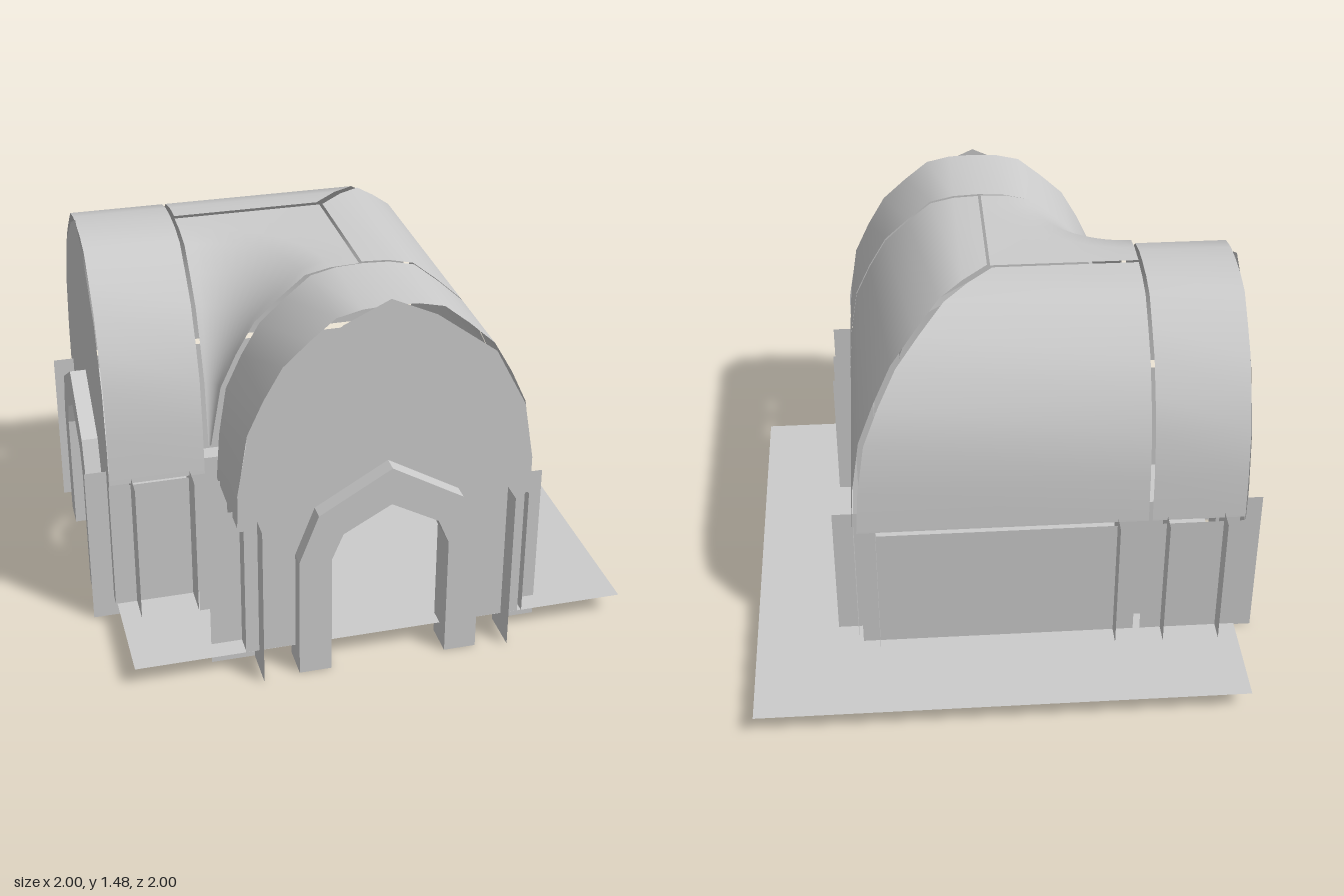
import * as THREE from 'three';

const mat = new THREE.MeshStandardMaterial({ color: 0xcccccc, side: THREE.DoubleSide });

const CX = 0.033;    // ridge line of a wing
const WALL = 0.585;  // outer wall plane
const END = 0.918;   // plane of the gable wall

// half vault section: distance from the ridge, height
const half = [[0, 1.455], [0.1, 1.45], [0.195, 1.428], [0.29, 1.35], [0.385, 1.262],
  [0.455, 1.14], [0.515, 1.01], [0.545, 0.82], [0.558, 0.635]];
const full = [...half.slice(1).reverse().map(([d, y]) => [-d, y]), ...half];

function add(parent, name, geometry) {
  const mesh = new THREE.Mesh(geometry, mat);
  mesh.name = name;
  parent.add(mesh);
  return mesh;
}

// smooth sheet through rows of points, point(i, j) -> [x, y, z]
function sheet(rows, cols, point) {
  const pos = [], index = [];
  for (let i = 0; i < rows; i++) {
    for (let j = 0; j < cols; j++) {
      pos.push(...point(i, j));
      if (i && j) {
        const a = (i - 1) * cols + j - 1, b = i * cols + j - 1;
        index.push(a, b, b + 1, a, b + 1, a + 1);
      }
    }
  }
  const g = new THREE.BufferGeometry();
  g.setAttribute('position', new THREE.Float32BufferAttribute(pos, 3));
  g.setIndex(index);
  g.computeVertexNormals();
  return g;
}

// thin wall facing sideways, from z0 to z1
function sideWall(parent, name, x, z0, z1) {
  const wall = add(parent, name, new THREE.PlaneGeometry(z1 - z0, 0.53));
  wall.rotation.y = x > 0 ? Math.PI / 2 : -Math.PI / 2;
  wall.position.set(x, 0.347, (z0 + z1) / 2);
}

// angle post: two thin strips meeting on the room side (sx, sz) of a wall corner
function post(parent, x, z, sx, sz) {
  const group = new THREE.Group();
  group.name = 'post';
  const r = 0.083, strip = new THREE.PlaneGeometry(2 * r, 0.655);
  add(group, 'postStripAcross', strip).position.z = sz * r;
  const along = add(group, 'postStripAlong', strip);
  along.rotation.y = Math.PI / 2;
  along.position.x = sx * r;
  group.position.set(x, 0.3275, z);
  parent.add(group);
}

// mirrored outline from right foot over the top to left foot
function outline(points) {
  const right = points.map(([x, y]) => new THREE.Vector2(CX + x, y));
  const left = points.slice(0, -1).reverse().map(([x, y]) => new THREE.Vector2(CX - x, y));
  return [...right, ...left];
}
// shape between an outer and an inner arch, open at the bottom
const archShape = (outer, inner) => new THREE.Shape([...outline(outer), ...outline(inner).reverse()]);

const archTop = [[0.222, 0.49], [0.18, 0.59], [0, 0.69]];
const gableOuter = [[0.535, 0.085], [0.535, 0.62], [0.555, 0.62], [0.555, 0.77],
  [0.515, 1.0], [0.395, 1.23], [0.17, 1.4], [0, 1.48]];
const frameOuter = [[0.345, 0], [0.345, 0.49], [0.272, 0.68], [0, 0.84]];

// one wing with its half of the corner
function createWing(name) {
  const wing = new THREE.Group();
  wing.name = name;

  // gable wall with door opening
  const gable = archShape(gableOuter, [[0.222, 0.085], ...archTop]);
  add(wing, 'gableWall', new THREE.ShapeGeometry(gable)).position.z = END;

  // door frame
  const frame = archShape(frameOuter, [[0.222, 0], ...archTop]);
  add(wing, 'doorFrame', new THREE.ExtrudeGeometry(frame, { depth: 0.13, bevelEnabled: false }))
    .position.z = 0.85;

  // vault over the entrance
  add(wing, 'entranceVault', sheet(2, full.length, (i, j) =>
    [CX + full[j][0], full[j][1], i ? END - 0.003 : 0.555]));

  // outer half vault, mitred towards the corner
  add(wing, 'cornerVault', sheet(2, half.length, (i, j) =>
    [CX + half[j][0], half[j][1], i ? 0.54 : -0.022 - half[j][0]]));

  sideWall(wing, 'entranceOuterWall', WALL, 0.53, END);
  sideWall(wing, 'entranceInnerWall', -0.5, 0.53, END);
  sideWall(wing, 'outerWall', WALL, -0.575, 0.503);

  // posts at the four corners of the entrance and at the end of the long wall
  for (const [z, sz] of [[END, -1], [0.53, 1]]) {
    post(wing, 0.583, z, -1, sz);
    post(wing, -0.535, z, 1, sz);
  }
  post(wing, 0.583, 0.505, -1, -1);
  return wing;
}

export function createModel() {
  const model = new THREE.Group();

  // the side wing is the front wing reflected across the diagonal
  const front = createWing('frontWing');
  const side = createWing('sideWing');
  side.rotation.y = -Math.PI / 2;
  side.scale.x = -1;
  side.position.set(-0.008, 0, -0.01);
  model.add(front, side);

  // floor
  const floor = add(model, 'floor', new THREE.PlaneGeometry(1.91, 1.915));
  floor.rotation.x = -Math.PI / 2;
  floor.position.set(0.035, 0.083, -0.0415);

  // inner roof: vault section swept round the inside corner, ending in a square flat
  const R = 0.565, steps = 12;
  const rows = [[0.008, 0.77], [0.05, 1.01], [0.11, 1.14], [0.18, 1.262], [0.275, 1.35],
    [0.37, 1.428], [0.465, 1.448], [R, 1.452], [null, 1.453]];
  add(model, 'innerCornerRoof', sheet(rows.length, steps + 1, (i, j) => {
    const a = (j / steps) * Math.PI / 2, c = Math.cos(a), s = Math.sin(a);
    const r = rows[i][0] ?? (R + 0.006) / Math.max(c, s);
    return [-0.55 + r * c, rows[i][1], 0.547 - r * s];
  }));

  // posts shared by both wings
  post(model, 0.583, -0.588, -1, 1);
  post(model, -0.525, 0.52, 1, -1);
  return model;
}
